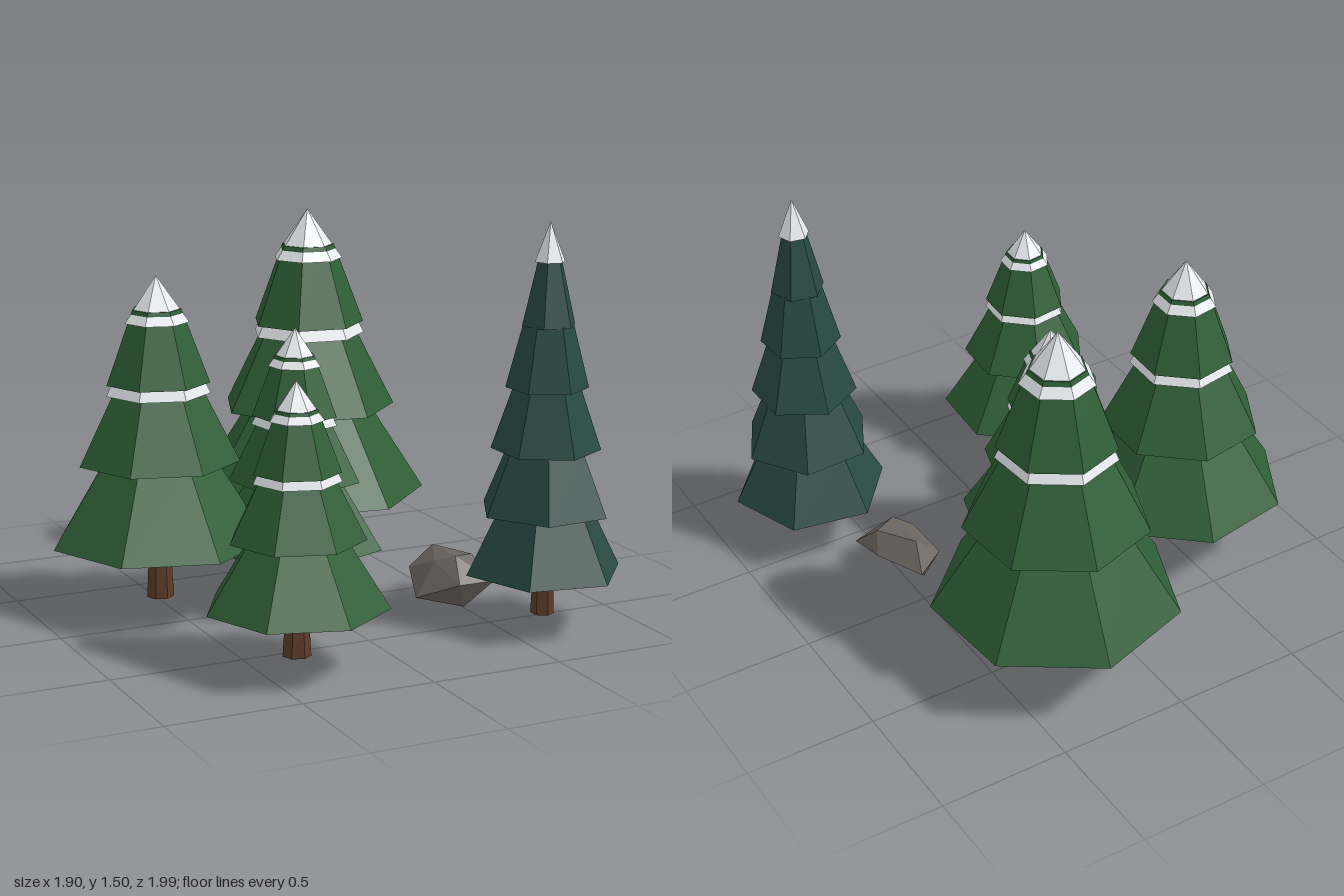
import * as THREE from 'three';
import { ConvexGeometry } from 'three/addons/geometries/ConvexGeometry.js';

const material = (color) => new THREE.MeshStandardMaterial({ color, flatShading: true });
const BASE = 0.05; // height of the trunk feet
const DEG = Math.PI / 180;

export function createModel() {
  const green = material(0x2f5f36), darkGreen = material(0x284a42);
  const bark = material(0x5c3b26), snow = material(0xe8ecf0), stone = material(0x6b645f);
  const model = new THREE.Group();
  model.name = 'snowyForest';

  // Faceted cone section standing between two heights
  function section(parent, name, mat, sides, [y0, y1, r0, r1], angle = 0) {
    const mesh = new THREE.Mesh(new THREE.CylinderGeometry(r1, r0, y1 - y0, sides), mat);
    mesh.name = name;
    mesh.position.y = (y0 + y1) / 2;
    mesh.rotation.y = angle * DEG;
    parent.add(mesh);
  }

  function treeGroup(name, x, z) {
    const tree = new THREE.Group();
    tree.name = name;
    tree.position.set(x, BASE, z);
    model.add(tree);
    return tree;
  }

  // Broad pine: three tiers, snow below the upper two and a snow cap
  function broadPine(name, x, z, s, angle) {
    const tree = treeGroup(name, x, z);
    const part = (label, mat, dims) => section(tree, label, mat, 7, dims.map((v) => v * s), angle);
    section(tree, 'trunk', bark, 7, [0, 0.27 * s, 0.052, 0.04], angle);
    part('lowerBranches', green, [0.25, 0.62, 0.465, 0.23]);
    part('middleBranches', green, [0.595, 0.93, 0.345, 0.175]);
    part('upperBranches', green, [0.93, 1.24, 0.222, 0.105]);
    part('middleSnow', snow, [0.588, 0.62, 0.315, 0.3]);
    part('upperSnow', snow, [0.885, 0.935, 0.224, 0.2]);
    part('snowCap', snow, [1.185, 1.38, 0.138, 0]);
  }

  broadPine('tallPine', 0.245, -0.535, 1, 17.6);
  broadPine('leftPine', -0.537, -0.183, 0.888, 10.3);
  broadPine('frontPine', -0.367, 0.667, 0.71, 8.7);
  broadPine('middlePine', -0.042, -0.037, 0.735, -4.6);

  // Slender spruce: five twisted, tapering tiers
  const spruce = treeGroup('slenderSpruce', 0.657, 0.617);
  section(spruce, 'trunk', bark, 6, [0, 0.2, 0.043, 0.036]);
  [20, 33, 0, 3, 20].forEach((angle, i) => {
    const y = 0.165 + 0.2285 * i, r = 0.298 - 0.049 * i;
    section(spruce, 'branches' + (i + 1), darkGreen, 6, [y, y + 0.235, r, r * (i < 4 ? 0.6 : 0.45)], angle);
  });
  section(spruce, 'snowCap', snow, 6, [1.31, 1.455, 0.058, 0], 20);

  // Angular boulder
  const corners = [
    [0.503, 0.11, 0.01], [0.38, 0.12, 0.09], [0.335, 0.04, 0.233], [0.45, 0.11, 0.365],
    [0.612, 0.1, 0.339], [0.595, 0.12, 0.19], [0.475, 0.2, 0.1], [0.415, 0.175, 0.23],
    [0.563, 0.19, 0.25], [0.475, 0.2, 0.283], [0.508, 0, 0.295], [0.45, 0.03, 0.09],
  ].map((p) => new THREE.Vector3(...p));
  const boulder = new THREE.Mesh(new ConvexGeometry(corners), stone);
  boulder.name = 'boulder';
  model.add(boulder);

  return model;
}
